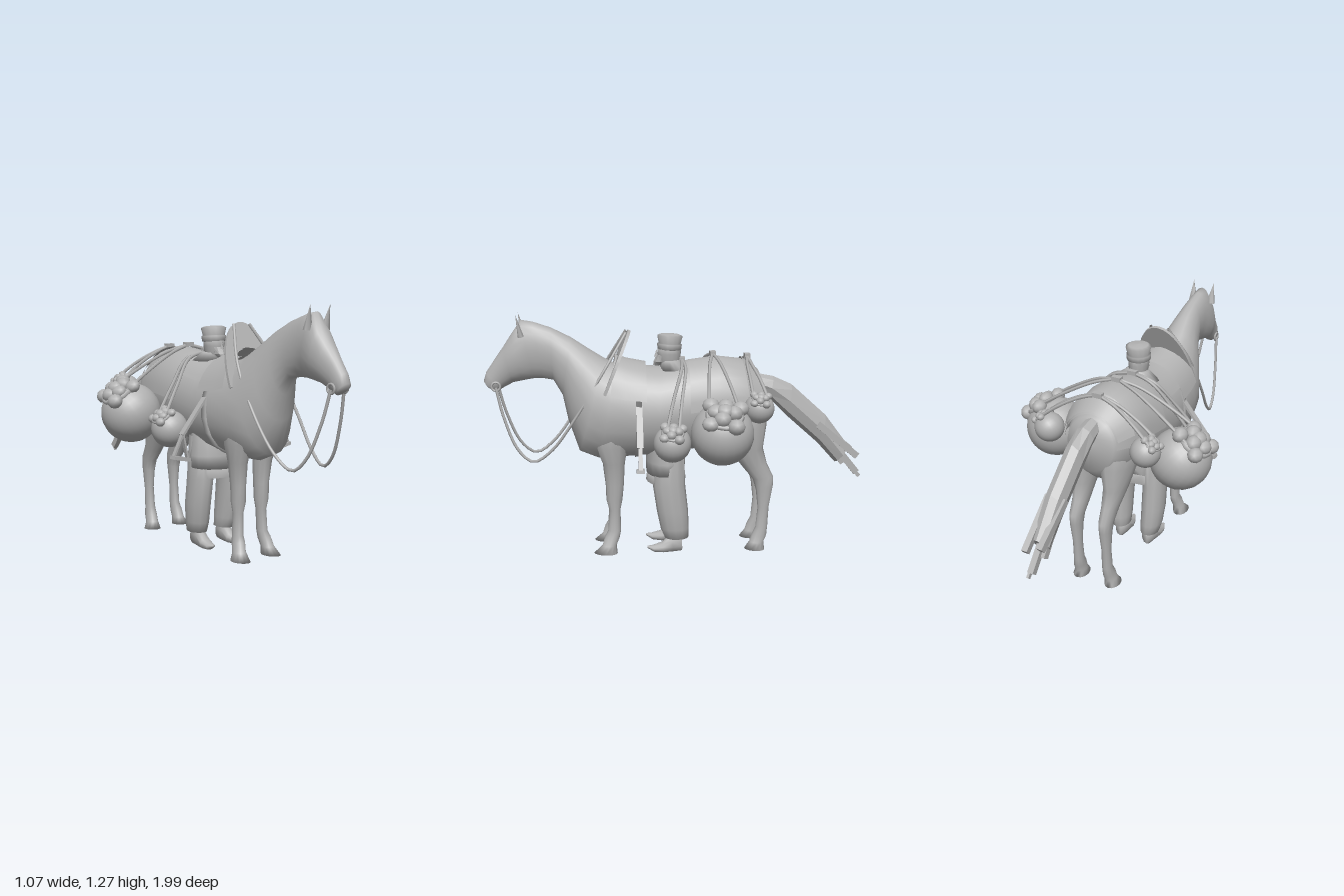
import * as THREE from 'three';

const grey = new THREE.MeshStandardMaterial({ color: 0xb2b2b2, side: THREE.DoubleSide });
grey.name = 'clayGrey';
const V = (x, y, z) => new THREE.Vector3(x, y, z);

// Row: [z1, y1, z2, y2, halfWidth, xCentre] = an ellipse spanned between two points of the side profile
function loft(rows, { sides = 16, arc = Math.PI, grow = 0, flat = false, side = 1 } = {}) {
  const closed = arc === Math.PI, pos = [], idx = [], n = sides + 1;
  rows.forEach(([z1, y1, z2, y2, w, x = 0]) => {
    const len = Math.hypot(z1 - z2, y1 - y2), k = 0.5 + grow / len;
    for (let i = 0; i <= sides; i++) {
      const a = -arc + (2 * arc * i) / sides, c = Math.cos(a) * k;
      pos.push(side * x + Math.sin(a) * (w + grow), (y1 + y2) / 2 + (y1 - y2) * c, (z1 + z2) / 2 + (z1 - z2) * c);
    }
  });
  for (let r = 0; r < rows.length - 1; r++) {
    for (let i = 0; i < sides; i++) {
      const a = r * n + i, b = closed ? r * n + ((i + 1) % sides) : a + 1;
      idx.push(a, a + n, b, b, a + n, b + n);
    }
  }
  if (closed) {
    [0, rows.length - 1].forEach((r) => {
      for (let i = 1; i < sides - 1; i++) {
        const f = [r * n, r * n + i, r * n + i + 1];
        idx.push(...(r ? f.reverse() : f));
      }
    });
  }
  let g = new THREE.BufferGeometry();
  g.setAttribute('position', new THREE.Float32BufferAttribute(pos, 3));
  g.setIndex(idx);
  if (flat) g = g.toNonIndexed();
  g.computeVertexNormals();
  return g;
}

const tube = (pts, r, seg = 20) => new THREE.TubeGeometry(new THREE.CatmullRomCurve3(pts), seg, r, 5);

// Straight rectangular bar between two points
function bar(a, b, w, d) {
  const g = new THREE.BoxGeometry(w, a.distanceTo(b), d);
  g.applyQuaternion(new THREE.Quaternion().setFromUnitVectors(V(0, 1, 0), b.clone().sub(a).normalize()));
  const m = a.clone().add(b).multiplyScalar(0.5);
  return g.translate(m.x, m.y, m.z);
}

export function createModel() {
  const root = new THREE.Group();
  root.name = 'packHorseAndHandler';
  const add = (name, geometry, parent = root) => {
    const m = new THREE.Mesh(geometry, grey);
    m.name = name;
    parent.add(m);
    return m;
  };

  // Horse: trunk, neck and head in one loft
  const trunk = [
    [-.44, .87, -.455, .8, .04], [-.42, .95, -.46, .68, .13], [-.33, 1.015, -.38, .6, .175],
    [-.2, 1.03, -.2, .57, .19], [-.05, 1.01, -.05, .55, .195], [.1, .98, .1, .53, .195],
    [.22, .99, .25, .52, .19], [.32, 1.01, .42, .51, .175], [.38, 1.04, .52, .55, .16],
  ];
  const neckAndHead = [
    [.46, 1.09, .575, .72, .125], [.55, 1.15, .6, .85, .088], [.65, 1.2, .645, .93, .066],
    [.74, 1.23, .7, .94, .06], [.8, 1.24, .74, .94, .066], [.85, 1.17, .8, .93, .07],
    [.89, 1.11, .85, .92, .058], [.94, 1.04, .89, .9, .042], [.985, .975, .915, .885, .038],
    [1, .93, .94, .875, .035], [.985, .9, .955, .885, .018],
  ];
  add('horseBody', loft([...trunk, ...neckAndHead], { sides: 20 }));

  const foreleg = [
    [.47, .75, .23, .75, .06, .1], [.44, .6, .27, .58, .058, .09], [.4, .5, .285, .5, .047, .08],
    [.387, .38, .292, .38, .036, .075], [.385, .3, .3, .3, .037, .075], [.37, .24, .312, .24, .027, .075],
    [.378, .13, .31, .13, .026, .08], [.395, .1, .318, .09, .032, .085], [.41, .05, .335, .05, .033, .093],
    [.455, .012, .33, .005, .042, .1],
  ];
  const hindleg = [
    [-.14, .78, -.44, .82, .08, .08], [-.18, .66, -.457, .7, .078, .09], [-.27, .55, -.44, .57, .056, .09],
    [-.34, .46, -.465, .48, .04, .085], [-.39, .4, -.5, .41, .034, .085], [-.408, .34, -.5, .36, .03, .085],
    [-.42, .24, -.48, .24, .024, .085], [-.41, .13, -.475, .13, .026, .085], [-.39, .09, -.47, .08, .031, .088],
    [-.378, .05, -.455, .045, .032, .09], [-.35, .012, -.46, .005, .042, .095],
  ];

  // Tail: a slab of hair with loose strands at the tip
  add('tail', loft([
    [-.42, .95, -.43, .85, .045], [-.5, .935, -.48, .82, .05], [-.6, .89, -.58, .72, .05],
    [-.79, .72, -.75, .57, .05], [-.92, .55, -.85, .46, .045],
  ], { sides: 8, flat: true }));
  [[-.035, .52, -.94], [.035, .5, -.96], [0, .4, -.97], [-.02, .45, -.9]].forEach(([x, y, z]) =>
    add('tailStrand', bar(V(x * 1.2, .68, -.74), V(x, y, z), .03, .035)));
  add('tailTip', bar(V(.01, .5, -.87), V(.01, .38, -.985), .012, .02));

  // Rump blanket, saddle seat and saddle flaps wrap the trunk
  add('rumpBlanket', loft(trunk.slice(1, 5), { sides: 14, arc: 1.55, grow: .016 }));
  add('blanketBorder', loft(trunk.slice(1, 3), { sides: 14, arc: 1.3, grow: .026 }));
  add('saddleSeat', loft(trunk.slice(4, 8), { sides: 14, arc: .95, grow: .014 }));
  add('saddleFlaps', loft([
    [.17, 1.0, .17, .53, .195], [.27, 1.02, .3, .52, .185], [.33, 1.04, .4, .53, .176],
  ], { sides: 14, arc: 1.25, grow: .02 }));
  add('bellyGirth', loft([[.195, .985, .2, .525, .192], [.225, .985, .23, .52, .19]], { sides: 18, grow: .008 }));

  // Pommel: a crescent board leaning back
  const crescent = new THREE.Shape();
  crescent.absellipse(0, 0, .162, .336, 0, Math.PI, false);
  crescent.absellipse(0, 0, .13, .2, Math.PI, 0, true);
  const pommel = add('pommel', new THREE.ExtrudeGeometry(crescent, { depth: .015, bevelEnabled: false, curveSegments: 14 }));
  pommel.position.set(0, .87, .375);
  pommel.rotation.x = -.4;

  // Load sacks: centre, radius, and the rope's crossing point on the back
  const sacks = [
    { name: 'largeSack', c: V(.362, .715, -.19), r: .155, top: V(0, 1.058, -.18), spread: .075, body: .2 },
    { name: 'rearSack', c: V(.27, .82, -.385), r: .075, top: V(0, 1.045, -.36), spread: .035, body: .17 },
    { name: 'frontSack', c: V(.285, .65, .05), r: .094, top: V(0, 1.03, -.02), spread: .03, body: .2 },
  ];

  for (const s of [1, -1]) {
    add('foreleg', loft(foreleg, { sides: 12, side: s }));
    add('hindleg', loft(hindleg, { sides: 12, side: s }));

    const ear = add('ear', new THREE.ConeGeometry(.026, .115, 6));
    ear.scale.z = .6;
    ear.position.set(s * .058, 1.215, .808);
    ear.rotation.set(.2, 0, -s * .06);

    // Bridle ring and hanging rein
    const bit = add('bitRing', new THREE.TorusGeometry(.022, .006, 6, 12));
    bit.position.set(s * .042, .905, .935);
    bit.rotation.y = Math.PI / 2;
    add('rein', tube([
      V(s * .042, .9, .935), V(s * .06, .75, .9), V(s * .085, .58, .83), V(s * .1, .52, .755), V(s * .118, .58, .66),
      V(s * .135, .74, .54), V(s * .12, .98, .39), V(s * .05, 1.175, .27),
    ], .008, 36));

    // Stirrup on its leather
    add('stirrupLeather', bar(V(s * .18, .82, .21), V(s * .325, .64, .21), .012, .032));
    const apex = V(s * .32, .645, .21), outer = V(s * .375, .535, .21), inner = V(s * .29, .515, .21);
    add('stirrupSide', bar(apex, outer, .01, .02));
    add('stirrupSide', bar(apex, inner, .01, .02));
    add('stirrupTread', bar(V(s * .38, .535, .21), V(s * .285, .515, .21), .018, .04));

    for (const { name, c, r, top, spread, body } of sacks) {
      const g = new THREE.Group();
      g.name = name;
      g.position.set(s * c.x, c.y, c.z);
      g.rotation.z = -s * .62;
      root.add(g);
      add('sackBag', new THREE.SphereGeometry(r, 24, 18), g);
      const rim = add('sackRim', new THREE.TorusGeometry(r * .52, r * .09, 6, 14), g);
      rim.position.y = r * .86;
      rim.rotation.x = Math.PI / 2;
      // Heaped goods in the mouth of the sack
      for (let i = 0; i < 9; i++) {
        const a = i * 2.4, d = i ? r * (.28 + .3 * (i % 2)) : 0;
        const lump = add('goods', new THREE.IcosahedronGeometry(r * .25, 1), g);
        lump.position.set(Math.cos(a) * d, r * (1.06 - d / r * .32), Math.sin(a) * d);
        lump.scale.set(1, .85 + .1 * (i % 3), 1.1);
      }
      // Two rope strands down from the back to the mouth
      const mouth = V(s * (c.x + r * .5), c.y + r * .78, c.z);
      for (const k of [1, -1]) {
        add('sackRope', tube([
          top.clone(), V(s * body * .6, top.y - .035, top.z + k * spread * .35),
          V(s * (body * .6 + mouth.x * s) / 2, (top.y - .035 + mouth.y) / 2 + .01, (top.z + mouth.z) / 2 + k * spread * .7),
          V(mouth.x, mouth.y, mouth.z + k * spread),
        ], .009));
      }
      if (s === 1) {
        const knot = add('ropeKnot', new THREE.BoxGeometry(.05, .024, .03));
        knot.position.copy(top);
      }
    }

    // Handler: baggy trousers and pointed shoes
    add('trouserLeg', loft([
      [.13, .6, -.02, .6, .065, .085], [.14, .38, -.03, .38, .062, .098], [.12, .24, -.045, .24, .062, .1],
      [.1, .14, -.05, .14, .057, .095], [.078, .085, -.048, .085, .05, .09], [.06, .085, -.03, .085, .03, .085],
    ], { sides: 12, side: s }));
    add('shoe', loft([
      [-.012, .1, -.015, .005, .03, .085], [.045, .1, .03, 0, .034, .085], [.09, .058, .085, 0, .036, .088],
      [.14, .042, .135, .006, .026, .093], [.172, .04, .17, .028, .008, .096],
    ], { sides: 10, side: s }));
  }

  // Handler: layered tunic, torso, head and cap
  add('tunicSkirt', loft([
    [.165, .44, -.035, .44, .155], [.172, .385, -.04, .39, .15], [.165, .4, -.03, .4, .14],
  ], { sides: 16 }));
  add('tunic', loft([
    [.17, .43, -.035, .445, .158], [.172, .5, -.038, .5, .16], [.16, .6, -.03, .6, .15],
    [.13, .75, -.03, .75, .13], [.12, .92, -.03, .92, .13], [.08, 1.0, 0, 1.0, .045],
  ], { sides: 16 }));
  add('collar', loft([[.1, .98, -.035, .99, .12], [.085, 1.025, -.01, 1.03, .06]], { sides: 14 }));
  add('head', loft([
    [.09, .98, 0, .98, .035], [.1, 1.02, -.008, 1.02, .046], [.108, 1.06, -.014, 1.06, .052],
    [.105, 1.1, -.014, 1.1, .054],
  ], { sides: 14 }));
  add('beard', loft([
    [.13, 1.0, .08, 1.0, .012], [.128, 1.02, .06, 1.02, .032], [.112, 1.055, .06, 1.055, .036],
  ], { sides: 8, flat: true }));
  const nose = add('nose', new THREE.ConeGeometry(.012, .04, 5));
  nose.position.set(0, 1.065, .112);
  const cap = add('cap', new THREE.LatheGeometry(
    [[.05, 0], [.062, .004], [.064, .03], [.057, .034], [.066, .072], [.05, .08], [0, .084]]
      .map(([x, y]) => new THREE.Vector2(x, y)), 14));
  cap.position.set(0, 1.08, .046);
  cap.rotation.x = -.06;

  return root;
}
